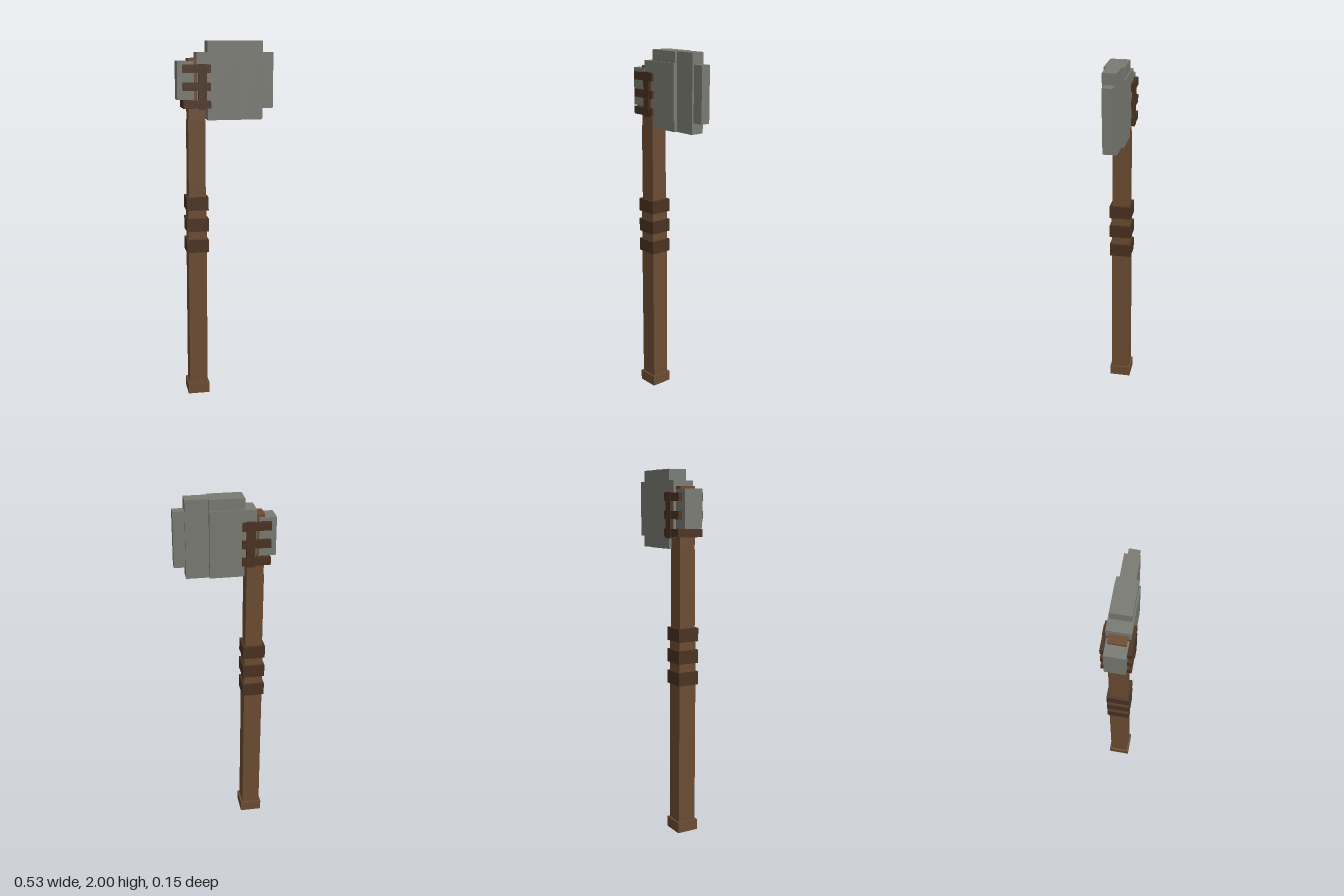
import * as THREE from 'three';

const material = (name, color) => {
  const m = new THREE.MeshStandardMaterial({ color });
  m.name = name;
  return m;
};

export function createModel() {
  const axe = new THREE.Group();
  axe.name = 'stoneAxe';
  const wood = material('wood', 0x6b4c32);
  const leather = material('dark leather', 0x4a3220);
  const stone = material('grey stone', 0x7a7a73);

  // Box from x and y ranges, centred on z with half depth d
  const block = (name, mat, x0, x1, y0, y1, d) => {
    const mesh = new THREE.Mesh(new THREE.BoxGeometry(x1 - x0, y1 - y0, d * 2), mat);
    mesh.position.set((x0 + x1) / 2, (y0 + y1) / 2, 0);
    mesh.name = name;
    axe.add(mesh);
  };
  // Square section of the shaft with half width h
  const shaftX = -0.16;
  const section = (name, mat, y0, y1, h) => block(name, mat, shaftX - h, shaftX + h, y0, y1, h);

  // Tapering handle
  section('pommel', wood, 0, 0.06, 0.061);
  section('lowerHandle', wood, 0.06, 1.08, 0.051);
  section('middleHandle', wood, 1.08, 1.58, 0.047);
  section('upperHandle', wood, 1.58, 1.91, 0.045);

  // Grip wraps
  for (const y of [0.845, 0.965, 1.085]) section('gripWrap', leather, y, y + 0.073, 0.061);

  // Stone head, thinning towards the cutting edge
  block('poll', stone, -0.265, -0.175, 1.69, 1.895, 0.053);
  block('headCore', stone, -0.16, 0.083, 1.64, 1.94, 0.06);
  block('headBody', stone, -0.1, 0.083, 1.58, 2, 0.053);
  block('blade', stone, 0.083, 0.204, 1.58, 2, 0.038);
  block('cuttingEdge', stone, 0.204, 0.265, 1.64, 1.94, 0.027);

  // Lashing that binds the head to the handle
  for (const y of [1.645, 1.739, 1.833]) block('lashingStrap', leather, -0.235, -0.085, y, y + 0.043, 0.075);
  block('lashingBinding', leather, -0.153, -0.107, 1.638, 1.88, 0.077);

  return axe;
}
